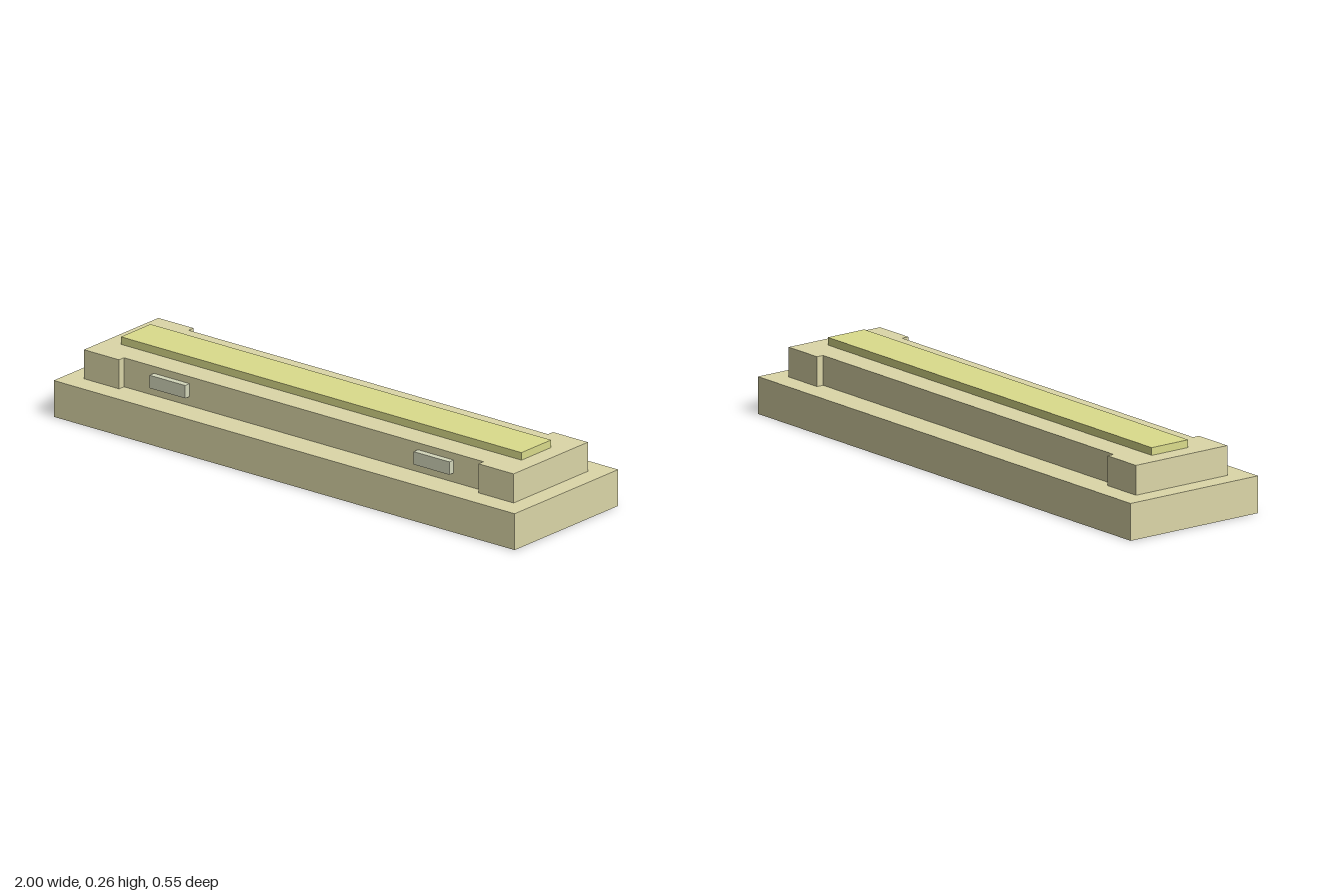
import * as THREE from 'three';

const stone = new THREE.MeshStandardMaterial({ color: 0xdcd7a8 });
const yellow = new THREE.MeshStandardMaterial({ color: 0xdbdc8c });
const pale = new THREE.MeshStandardMaterial({ color: 0xd5d8bc });

// Box given by its centre in x and z, and its bottom and top heights
function block(name, material, width, depth, bottom, top, x = 0, z = 0) {
  const mesh = new THREE.Mesh(new THREE.BoxGeometry(width, top - bottom, depth), material);
  mesh.name = name;
  mesh.position.set(x, (bottom + top) / 2, z);
  return mesh;
}

export function createModel() {
  const model = new THREE.Group();
  model.name = 'steppedBlock';

  model.add(block('base', stone, 2, 0.546, 0, 0.13));

  // Upper tier: wide ends with a shallow recess along the front and back
  const endX = 0.932, recessX = 0.78, endZ = 0.196, recessZ = 0.17;
  const outline = new THREE.Shape([
    [-endX, -endZ], [-recessX, -endZ], [-recessX, -recessZ], [recessX, -recessZ],
    [recessX, -endZ], [endX, -endZ], [endX, endZ], [recessX, endZ],
    [recessX, recessZ], [-recessX, recessZ], [-recessX, endZ], [-endX, endZ],
  ].map(([x, z]) => new THREE.Vector2(x, z)));
  const tierGeometry = new THREE.ExtrudeGeometry(outline, { depth: 0.104, bevelEnabled: false });
  tierGeometry.rotateX(-Math.PI / 2);
  const tier = new THREE.Mesh(tierGeometry, stone);
  tier.name = 'upperTier';
  tier.position.y = 0.13;
  model.add(tier);

  model.add(block('topStrip', yellow, 1.738, 0.156, 0.234, 0.261));

  // Pair of small plates standing out from the front recess
  for (const [side, name] of [[1, 'leftPlate'], [-1, 'rightPlate']]) {
    model.add(block(name, pale, 0.155, 0.036, 0.163, 0.209, side * 0.573, 0.175));
  }

  return model;
}
